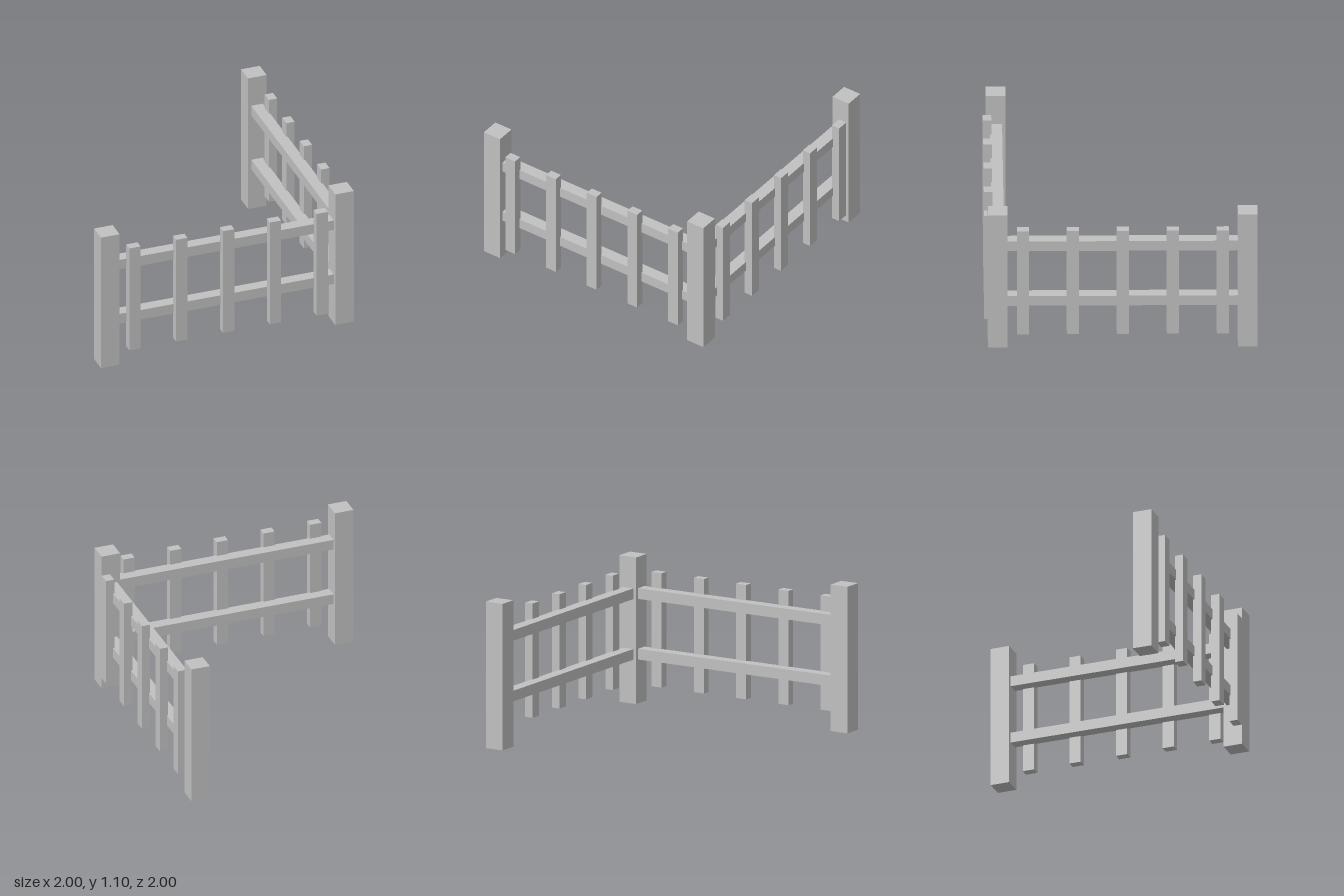
import * as THREE from 'three';

export function createModel() {
  const model = new THREE.Group();
  model.name = 'cornerFence';
  const grey = new THREE.MeshStandardMaterial({ color: 0xc0c0c0 });
  grey.name = 'fence grey';

  // Box given by its extents along x, y and z
  function box(parent, name, [x0, x1], [y0, y1], [z0, z1]) {
    const mesh = new THREE.Mesh(new THREE.BoxGeometry(x1 - x0, y1 - y0, z1 - z0), grey);
    mesh.position.set((x0 + x1) / 2, (y0 + y1) / 2, (z0 + z1) / 2);
    mesh.name = name;
    parent.add(mesh);
  }

  // Square posts: one at each end and one at the corner
  const far = [-1, -0.855];
  const near = [0.83, 0.975];
  const height = [0, 1.1];
  box(model, 'cornerPost', near, height, near);
  box(model, 'frontEndPost', far, height, near);
  box(model, 'sideEndPost', near, height, far);

  // The two runs are mirror images across the diagonal x = z
  for (const side of [false, true]) {
    const run = new THREE.Group();
    run.name = side ? 'sidePanel' : 'frontPanel';
    const place = (name, along, y, across) =>
      side ? box(run, name, across, y, along) : box(run, name, along, y, across);

    // Horizontal rails between the posts
    for (const y of [0.33, 0.785]) {
      place('rail', [-0.86, 0.835], [y, y + 0.08], [0.855, 0.945]);
    }
    // Evenly spaced pickets on the outer face of the rails
    for (let i = 0; i < 5; i++) {
      const c = -0.0125 + (i - 2) * 0.366;
      place('picket', [c - 0.044, c + 0.044], [0.122, 0.98], [0.935, 1]);
    }
    model.add(run);
  }
  return model;
}
